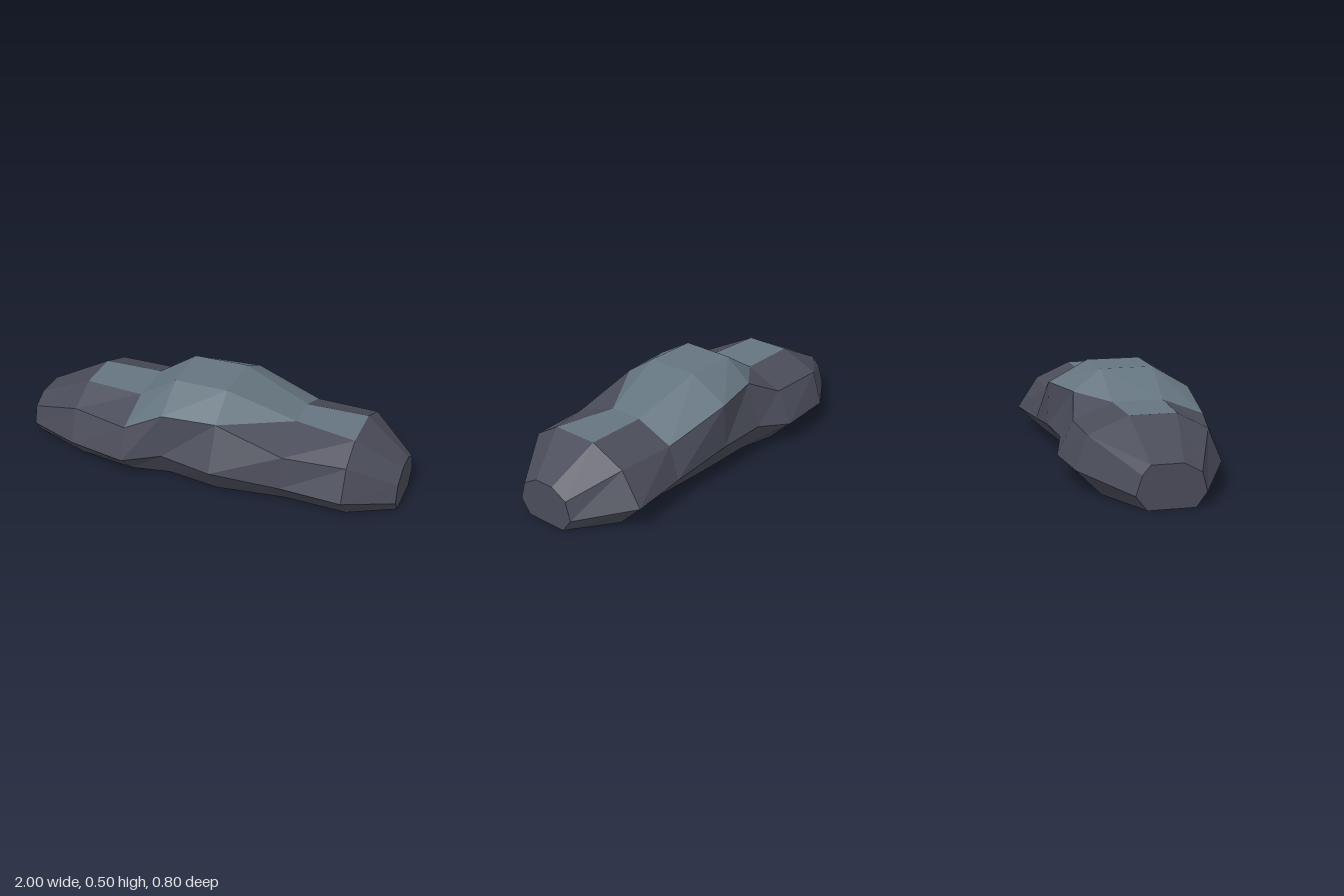
import * as THREE from 'three';

// Cross-sections along the rock: x, height, front z (wide, shoulder, top), back z (wide, shoulder, top)
const sections = [
  [-1.0, 0.21, 0.165, 0.14, 0.055, -0.17, -0.14, -0.1],
  [-0.69, 0.37, 0.335, 0.265, 0.11, -0.375, -0.32, -0.12],
  [-0.38, 0.37, 0.395, 0.34, 0.13, -0.4, -0.32, -0.125],
  [-0.18, 0.5, 0.34, 0.32, 0.135, -0.345, -0.275, -0.135],
  [0.1, 0.5, 0.398, 0.295, 0.135, -0.355, -0.345, -0.14],
  [0.45, 0.37, 0.33, 0.305, 0.08, -0.35, -0.295, -0.095],
  [0.77, 0.37, 0.345, 0.28, 0.145, -0.395, -0.285, -0.1],
  [1.0, 0.21, 0.167, 0.14, 0.055, -0.165, -0.137, -0.05],
];
const FOOT = 0.68, WIDE = 0.33, SHOULDER = 0.78; // foot width and level heights as ratios

// Eight-sided ring, from the front foot over the top to the back foot
function ring([x, h, fw, fs, ft, bw, bs, bt]) {
  return [
    [fw * FOOT, 0], [fw, h * WIDE], [fs, h * SHOULDER], [ft, h],
    [bt, h], [bs, h * SHOULDER], [bw, h * WIDE], [bw * FOOT, 0],
  ].map(([z, y]) => new THREE.Vector3(x, y, z));
}

function facetMesh(name, triangles, material) {
  const geometry = new THREE.BufferGeometry().setFromPoints(triangles.flat());
  geometry.computeVertexNormals();
  const mesh = new THREE.Mesh(geometry, material);
  mesh.name = name;
  return mesh;
}

export function createModel() {
  const darkStone = new THREE.MeshStandardMaterial({ name: 'dark stone', color: 0x4a4c59 });
  const paleStone = new THREE.MeshStandardMaterial({ name: 'pale blue stone', color: 0x64747f });

  const rings = sections.map(ring);
  const body = [], crown = [];

  // Facets high on the rock belong to the pale crown
  const add = (...t) => {
    const height = (t[0].y + t[1].y + t[2].y) / 3;
    (height > 0.36 ? crown : body).push(t);
  };

  // Skin between neighbouring rings, underside included
  for (let i = 0; i < rings.length - 1; i++) {
    const a = rings[i], b = rings[i + 1];
    for (let k = 0; k < 8; k++) {
      const n = (k + 1) % 8;
      add(a[k], b[k], b[n]);
      add(a[k], b[n], a[n]);
    }
  }

  // Flat ends
  const first = rings[0], last = rings[rings.length - 1];
  for (let k = 1; k < 7; k++) {
    add(first[0], first[k], first[k + 1]);
    add(last[0], last[k + 1], last[k]);
  }

  const rock = new THREE.Group();
  rock.name = 'rock';
  rock.add(facetMesh('rockBody', body, darkStone), facetMesh('rockCrown', crown, paleStone));
  return rock;
}
